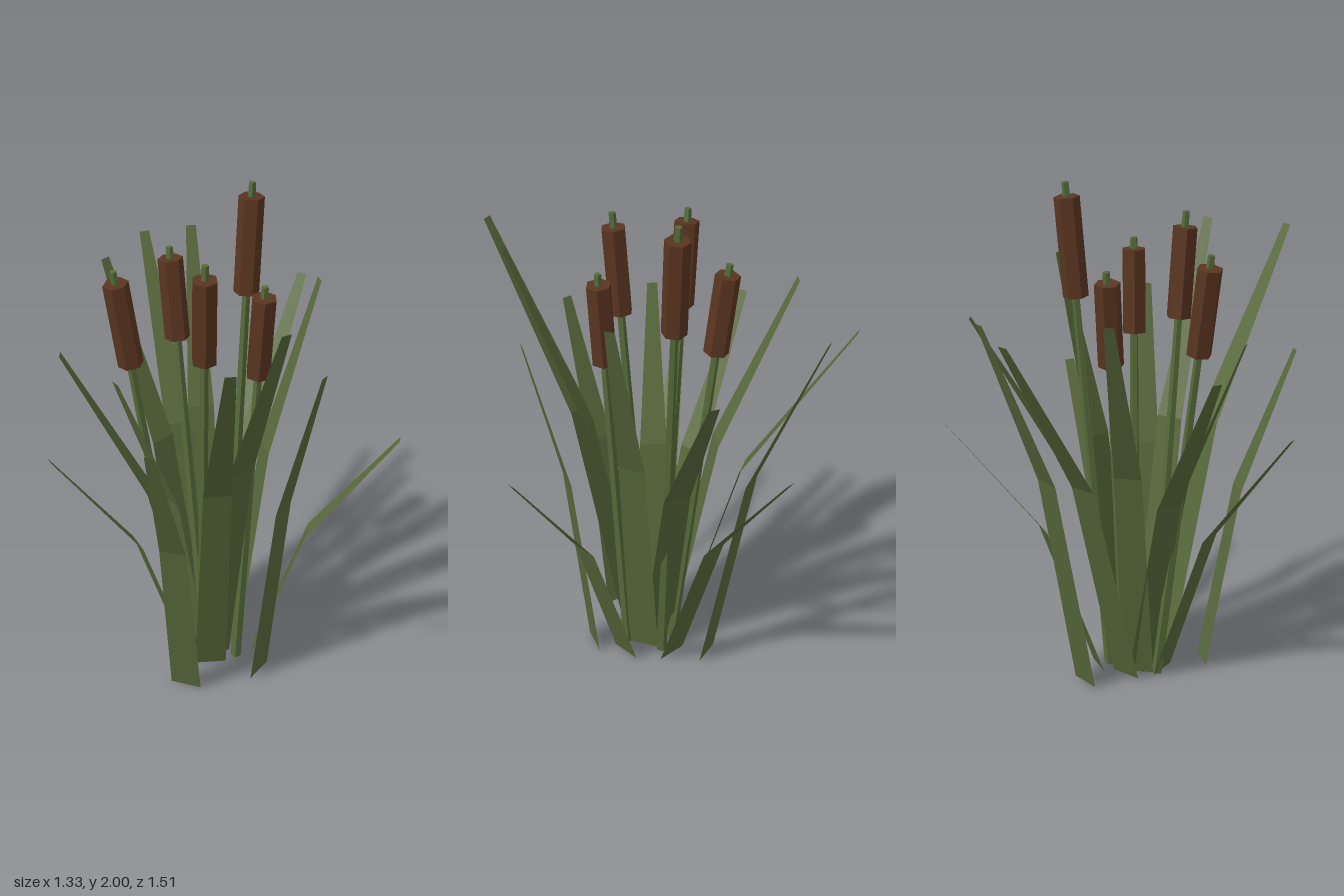
import * as THREE from 'three';

const leafGreen = new THREE.MeshStandardMaterial({ color: 0x58693b, flatShading: true, side: THREE.DoubleSide });
leafGreen.name = 'leaf green';
const stemGreen = new THREE.MeshStandardMaterial({ color: 0x556b3a, flatShading: true });
stemGreen.name = 'stem green';
const headBrown = new THREE.MeshStandardMaterial({ color: 0x5a3520, flatShading: true });
headBrown.name = 'seed head brown';

// Flat blade of two segments, bending outward at the middle
function makeLeaf([bx, bz, tx, ty, tz]) {
  const dir = new THREE.Vector2(tx - bx, tz - bz).normalize();
  const rows = [[0, 0, 0.125], [0.38, 0.57, 0.108], [1, 1, 0.04]]; // outward, height, width
  const points = [];
  for (const [out, up, width] of rows) {
    for (const side of [-0.5, 0.5]) {
      points.push(
        bx + (tx - bx) * out - dir.y * width * side,
        ty * up,
        bz + (tz - bz) * out + dir.x * width * side
      );
    }
  }
  const geo = new THREE.BufferGeometry();
  geo.setAttribute('position', new THREE.Float32BufferAttribute(points, 3));
  geo.setIndex([0, 1, 3, 0, 3, 2, 2, 3, 5, 2, 5, 4]);
  geo.computeVertexNormals();
  const leaf = new THREE.Mesh(geo, leafGreen);
  leaf.name = 'leaf';
  return leaf;
}

// Straight leaning reed: stem, six-sided seed head and a short spike on top
function makeReed([bx, bz, tx, tz, headBottom, headTop, spikeTop]) {
  const lean = Math.hypot(tx - bx, tz - bz) / headTop;
  const stretch = Math.hypot(1, lean);
  const reed = new THREE.Group();
  reed.name = 'reed';
  reed.position.set(bx, 0, bz);
  reed.rotation.order = 'YXZ';
  reed.rotation.y = Math.atan2(tx - bx, tz - bz);
  reed.rotation.x = Math.atan(lean);
  const part = (name, rTop, rBottom, y0, y1, sides, material) => {
    const geo = new THREE.CylinderGeometry(rTop, rBottom, (y1 - y0) * stretch, sides);
    geo.translate(0, (y0 + y1) / 2 * stretch, 0);
    const mesh = new THREE.Mesh(geo, material);
    mesh.name = name;
    reed.add(mesh);
  };
  part('stem', 0.016, 0.022, 0, headBottom + 0.01, 5, stemGreen);
  part('seedHead', 0.049, 0.049, headBottom, headTop, 6, headBrown);
  part('spike', 0.014, 0.016, headTop - 0.01, spikeTop, 5, stemGreen);
  return reed;
}

export function createModel() {
  const model = new THREE.Group();
  model.name = 'reedClump';

  // base x, base z, tip x, tip height, tip z
  const leaves = [
    [-0.03, -0.08, -0.065, 1.56, -0.755],
    [0.05, -0.235, 0.115, 1.59, -0.695],
    [0.1, -0.1, 0.37, 1.14, -0.645],
    [0.01, -0.005, 0.49, 1.47, -0.39],
    [-0.05, -0.03, -0.295, 1.61, -0.46],
    [-0.05, 0, -0.547, 1.38, -0.165],
    [-0.11, 0.05, -0.662, 1.11, 0.138],
    [-0.053, 0.032, -0.41, 1.42, 0.17],
    [-0.17, 0.23, -0.375, 1.31, 0.525],
    [-0.035, 0.12, -0.147, 1.73, 0.752],
    [0, 0.075, 0.108, 1.75, 0.567],
    [0.14, 0.225, 0.307, 1.47, 0.42],
    [0.155, 0.08, 0.655, 1.09, 0.325],
    [0.085, 0.027, 0.415, 1.66, 0.027],
  ];
  for (const leaf of leaves) model.add(makeLeaf(leaf));

  // base x, base z, head top x, head top z, head bottom, head top, spike top
  const reeds = [
    [0.085, -0.05, 0.2, -0.15, 1.56, 1.945, 2],
    [-0.055, 0.06, -0.08, 0.203, 1.46, 1.81, 1.87],
    [-0.11, 0.02, -0.362, 0.01, 1.4, 1.74, 1.79],
    [0.08, 0.1, 0.153, 0.172, 1.36, 1.69, 1.735],
    [-0.01, -0.06, -0.09, -0.245, 1.36, 1.685, 1.73],
  ];
  for (const reed of reeds) model.add(makeReed(reed));

  return model;
}
